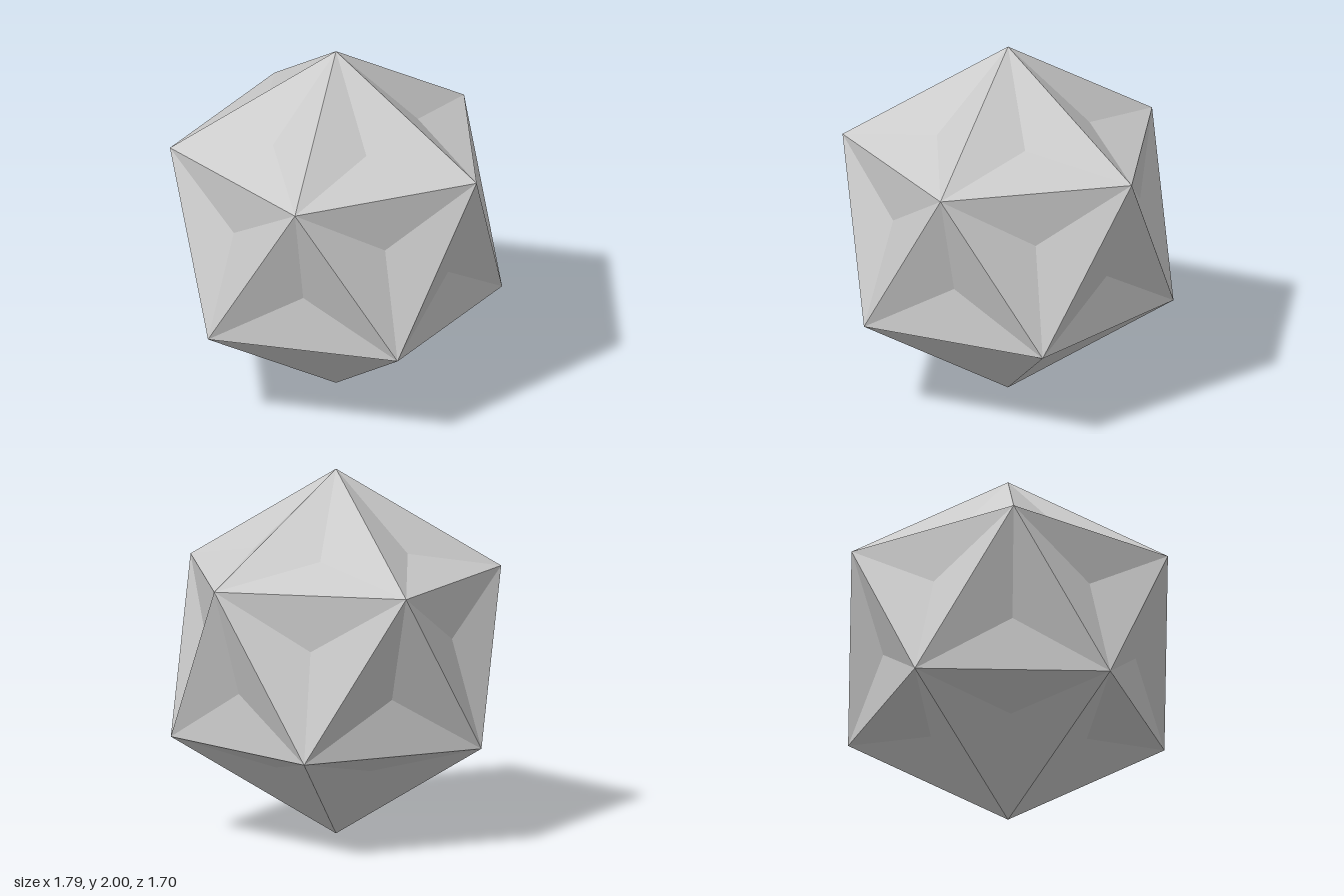
import * as THREE from 'three';

const DENT = 0.914; // dent centre as a fraction of the flat face centre's distance

export function createModel() {
  // Icosahedron corners: two poles and two staggered rings of five
  const ringY = 1 / Math.sqrt(5), ringR = 2 / Math.sqrt(5);
  const ring = (y, offset) => Array.from({ length: 5 }, (_, i) => {
    const a = (i + offset) * Math.PI * 2 / 5;
    return new THREE.Vector3(ringR * Math.cos(a), y, ringR * Math.sin(a));
  });
  const top = new THREE.Vector3(0, 1, 0);
  const bottom = new THREE.Vector3(0, -1, 0);
  const upper = ring(ringY, 0);
  const lower = ring(-ringY, 0.5);

  // Each face becomes a shallow inward three-sided pyramid
  const points = [];
  const dentedFace = (a, b, c) => {
    const centre = a.clone().add(b).add(c).multiplyScalar(DENT / 3);
    points.push(a, b, centre, b, c, centre, c, a, centre);
  };

  for (let i = 0; i < 5; i++) {
    const j = (i + 1) % 5;
    dentedFace(top, upper[j], upper[i]);         // top cap
    dentedFace(upper[i], upper[j], lower[i]);    // belt, pointing down
    dentedFace(upper[j], lower[j], lower[i]);    // belt, pointing up
    dentedFace(lower[i], lower[j], bottom);      // bottom cap
  }

  const geometry = new THREE.BufferGeometry().setFromPoints(points);
  geometry.translate(0, 1, 0);
  geometry.computeVertexNormals();

  const mesh = new THREE.Mesh(
    geometry,
    new THREE.MeshStandardMaterial({ color: 0xcccccc, flatShading: true })
  );
  mesh.name = 'dentedIcosahedron';

  const group = new THREE.Group();
  group.name = 'dentedPolyhedron';
  group.add(mesh);
  return group;
}
